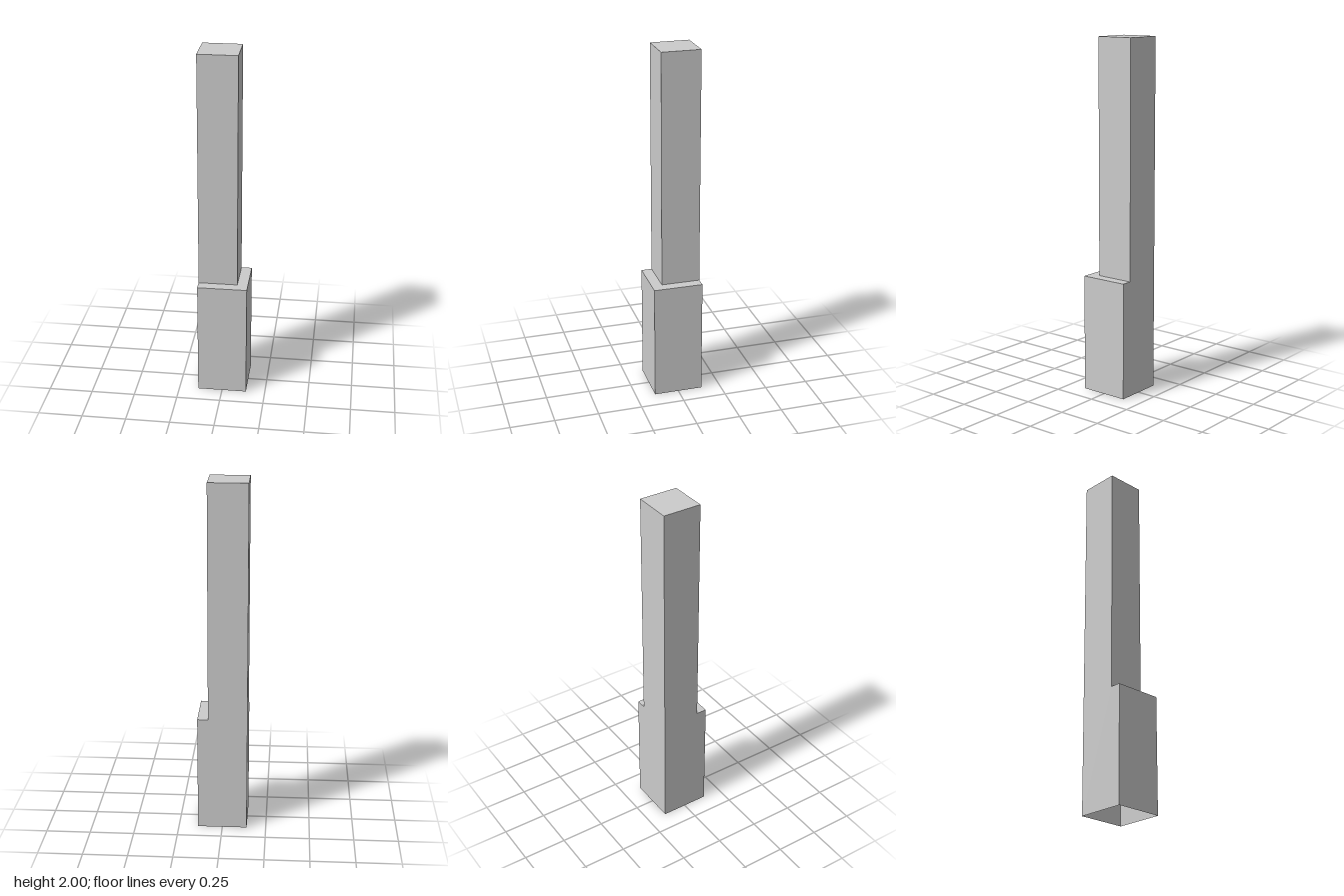
import * as THREE from 'three';

const H = 0.14;     // half width of the base
const S = 0.08;     // stepped-in front and side of the shaft
const LEDGE = 0.667;
const TOP = 2;

const material = new THREE.MeshStandardMaterial({ color: 0xcccccc, flatShading: true, side: THREE.DoubleSide });

// Flat outline turned about x and y, then moved into place
function panel(name, points, rx, ry, x, y, z) {
  const shape = new THREE.Shape(points.map(([u, v]) => new THREE.Vector2(u, v)));
  const geometry = new THREE.ShapeGeometry(shape).rotateX(rx).rotateY(ry).translate(x, y, z);
  const mesh = new THREE.Mesh(geometry, material);
  mesh.name = name;
  return mesh;
}

const rect = (u0, v0, u1, v1) => [[u0, v0], [u1, v0], [u1, v1], [u0, v1]];

export function createModel() {
  const group = new THREE.Group();
  group.name = 'steppedPost';
  const Q = Math.PI / 2;

  // Two flush walls run the full height, narrowing above the ledge
  const sideOutline = [[-H, 0], [H, 0], [H, LEDGE], [S, LEDGE], [S, TOP], [-H, TOP]];
  const backOutline = sideOutline.map(([u, v]) => [-u, v]);
  group.add(panel('backWall', backOutline, 0, 2 * Q, 0, 0, -H));
  group.add(panel('rightWall', sideOutline, 0, -Q, -H, 0, 0));

  // Base walls on the stepped sides; the base is open underneath
  const baseWall = rect(-H, 0, H, LEDGE);
  group.add(panel('baseFront', baseWall, 0, 0, 0, 0, H));
  group.add(panel('baseLeft', baseWall, 0, Q, H, 0, 0));

  // Shaft walls set in from the base
  group.add(panel('shaftFront', rect(-H, LEDGE, S, TOP), 0, 0, 0, 0, S));
  group.add(panel('shaftLeft', rect(-S, LEDGE, H, TOP), 0, Q, S, 0, 0));

  // L-shaped ledge and top cap
  const ledge = [[-H, -H], [H, -H], [H, H], [S, H], [S, -S], [-H, -S]];
  group.add(panel('ledge', ledge, -Q, 0, 0, LEDGE, 0));
  group.add(panel('topCap', rect(-H, -S, S, H), -Q, 0, 0, TOP, 0));

  return group;
}
